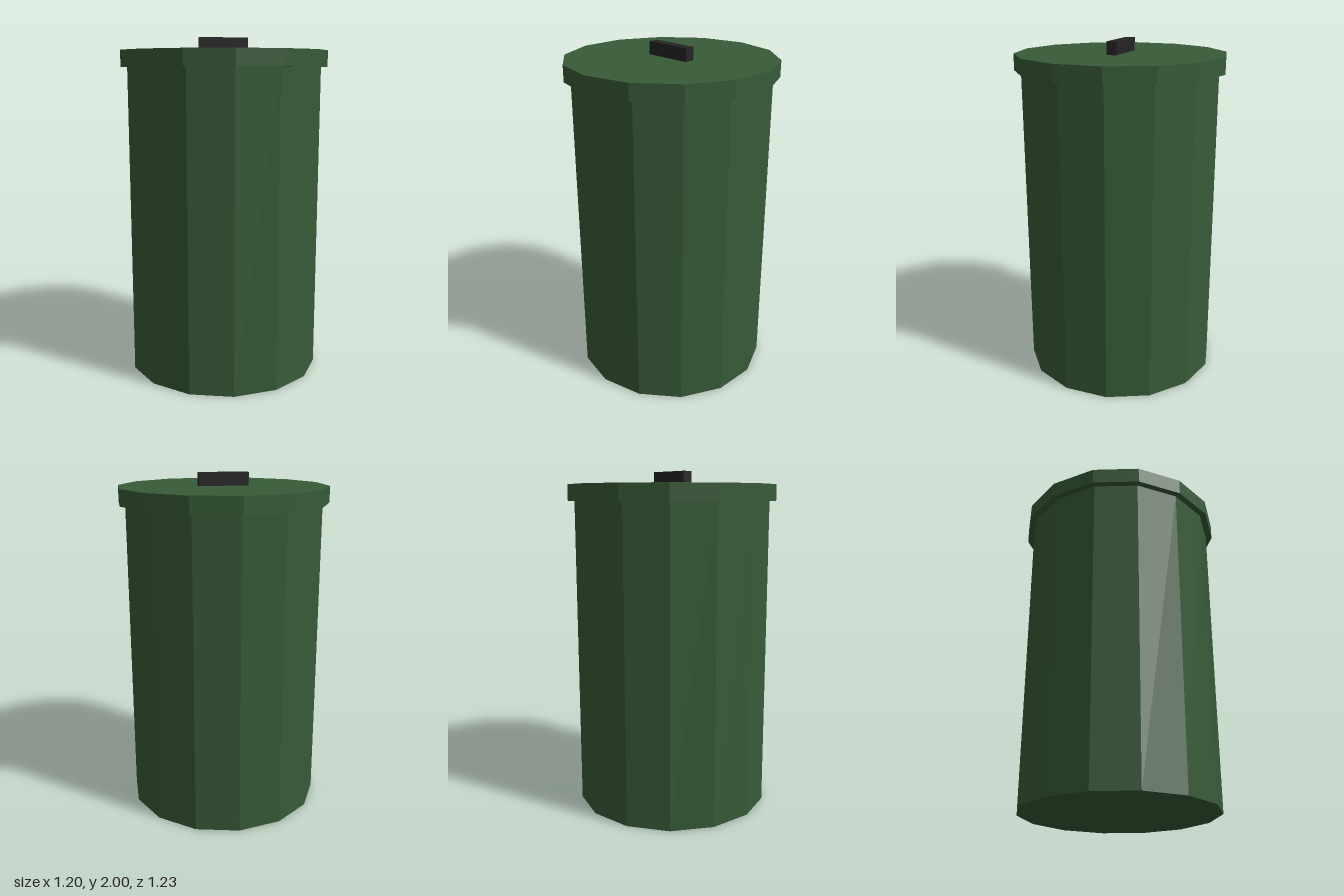
import * as THREE from 'three';

const SIDES = 14;

export function createModel() {
  const green = new THREE.MeshStandardMaterial({ color: 0x375b37, flatShading: true });
  green.name = 'binGreen';
  const black = new THREE.MeshStandardMaterial({ color: 0x242424, flatShading: true });
  black.name = 'handleBlack';

  const model = new THREE.Group();
  model.name = 'trashBin';

  // Adds a part resting on the given height
  const add = (name, geometry, material, bottom, height) => {
    const mesh = new THREE.Mesh(geometry, material);
    mesh.name = name;
    mesh.position.y = bottom + height / 2;
    model.add(mesh);
  };
  const drum = (radius, height) => new THREE.CylinderGeometry(radius, radius, height, SIDES);

  // Straight body, overhanging lid and bar handle
  add('body', drum(0.577, 1.83), green, 0, 1.83);
  add('lid', drum(0.615, 0.095), green, 1.83, 0.095);
  add('handle', new THREE.BoxGeometry(0.29, 0.075, 0.058), black, 1.925, 0.075);

  return model;
}
